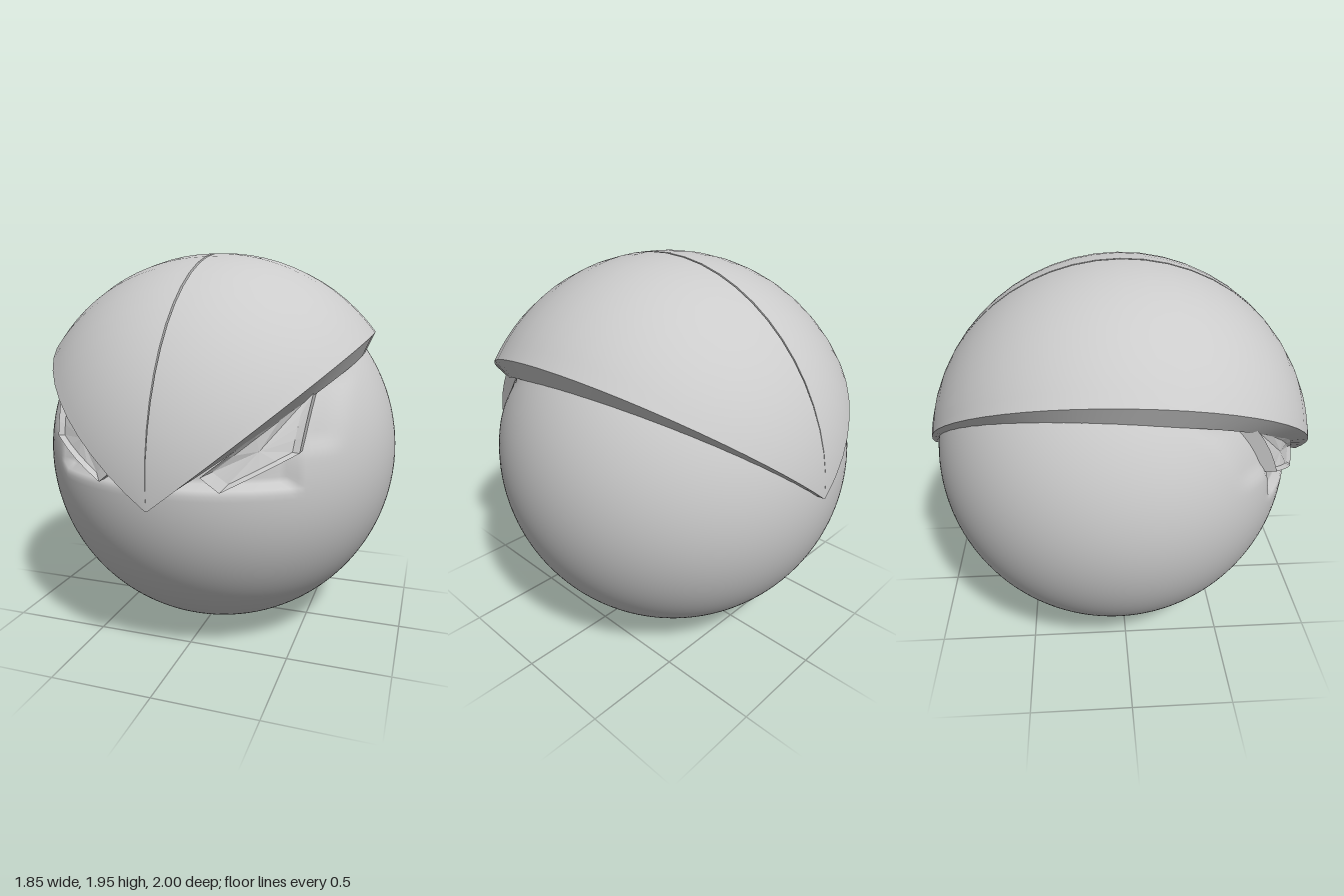
import * as THREE from 'three';
import { mergeVertices } from 'three/addons/utils/BufferGeometryUtils.js';
import { ParametricGeometry } from 'three/addons/geometries/ParametricGeometry.js';

const BODY_R = 0.925, BODY_Y = 0.93, BODY_Z = -0.045;
const HOOD_Y = 0.95, HOOD_ANGLE = THREE.MathUtils.degToRad(51), GAP = 0.006;
const { smoothstep, lerp } = THREE.MathUtils;

const smooth = new THREE.MeshStandardMaterial({ color: 0xcccccc, side: THREE.DoubleSide });
const faceted = new THREE.MeshStandardMaterial({ color: 0xcccccc, side: THREE.DoubleSide, flatShading: true });

function surface(name, fn, slices, stacks, material = smooth) {
  const geometry = new ParametricGeometry(fn, slices, stacks);
  geometry.computeVertexNormals();
  const mesh = new THREE.Mesh(geometry, material);
  mesh.name = name;
  return mesh;
}

// Ball with a shallow brow recess that forms the eye sockets
function createBody() {
  let geometry = new THREE.SphereGeometry(BODY_R, 160, 120);
  const p = geometry.attributes.position;
  for (let i = 0; i < p.count; i++) {
    if (p.getZ(i) <= 0) continue;
    const x = Math.abs(p.getX(i)), y = p.getY(i) + BODY_Y;
    const band = smoothstep(y, 0.92, 0.96) * (1 - smoothstep(y, 1.36, 1.44));
    const socket = 0.045 * (1 - smoothstep(x, 0.54, 0.58));
    const outer = 0.018 * (1 - smoothstep(x, 0.66, 0.75)) * smoothstep(y, 1.06, 1.16);
    const k = 1 - band * (socket + outer);
    p.setXYZ(i, p.getX(i) * k, p.getY(i) * k, p.getZ(i) * k);
  }
  geometry.deleteAttribute('uv');
  geometry.deleteAttribute('normal');
  geometry = mergeVertices(geometry, 1e-5);
  geometry.computeVertexNormals();
  const body = new THREE.Mesh(geometry, smooth);
  body.name = 'body';
  body.position.set(0, BODY_Y, BODY_Z);
  return body;
}

// Point on the hood: phi turns from the crown to the side, v runs from front tip to back tip
function hoodPoint(side, phi, v, r, target) {
  const a = lerp(0.006, Math.PI - 0.006, v);
  const drop = lerp(-0.09, 0.02, (1 - Math.cos(a)) / 2);
  target.set(Math.sin(a) * Math.sin(phi), Math.sin(a) * Math.cos(phi) + drop, Math.cos(a));
  target.normalize().multiplyScalar(r);
  target.x = side * (Math.max(target.x, 0) + GAP * Math.sin(a));
  target.y += HOOD_Y;
}

// Half of the hood: outer shell, bevelled lower rim and the wall along the centre seam
function createHoodHalf(side) {
  const half = new THREE.Group();
  half.name = side > 0 ? 'leftHood' : 'rightHood';
  const along = (u) => (side > 0 ? u : 1 - u);
  half.add(
    surface('hoodShell', (u, v, t) => hoodPoint(side, along(u) * HOOD_ANGLE, v, 1, t), 12, 28),
    surface('hoodRim', (u, v, t) => {
      const w = along(u);
      hoodPoint(side, HOOD_ANGLE + 0.06 * w, v, 1 - 0.1 * w, t);
    }, 1, 28),
    surface('hoodSeam', (u, v, t) => hoodPoint(side, 0, v, 0.9 + 0.1 * along(u), t), 1, 28)
  );
  return half;
}

// Eye plate: slanted four-sided outline lofted inward in rings over the socket
function createEye(side) {
  const outline = [[0.2, 1.0], [0.28, 0.935], [0.58, 1.09], [0.61, 1.34]];
  const rings = [[1, 0.87], [1, 0.962], [0.8, 0.94], [0, 0.928]]; // scale, distance from body centre
  const cx = 0.42, cy = 1.1;
  return surface(side > 0 ? 'leftEye' : 'rightEye', (u, v, t) => {
    const s = (side > 0 ? u : 1 - u) * 4, e = Math.min(Math.floor(s), 3);
    const a = outline[e], b = outline[(e + 1) % 4];
    const [scale, r] = rings[Math.round(v * 3)];
    const x = lerp(cx, lerp(a[0], b[0], s - e), scale);
    const y = lerp(cy, lerp(a[1], b[1], s - e), scale);
    t.set(side * x, y, BODY_Z + Math.sqrt(r * r - x * x - (y - BODY_Y) ** 2));
  }, 16, 3, faceted);
}

export function createModel() {
  const model = new THREE.Group();
  model.name = 'hoodedBall';
  model.add(createBody());
  for (const side of [1, -1]) model.add(createHoodHalf(side), createEye(side));
  return model;
}
